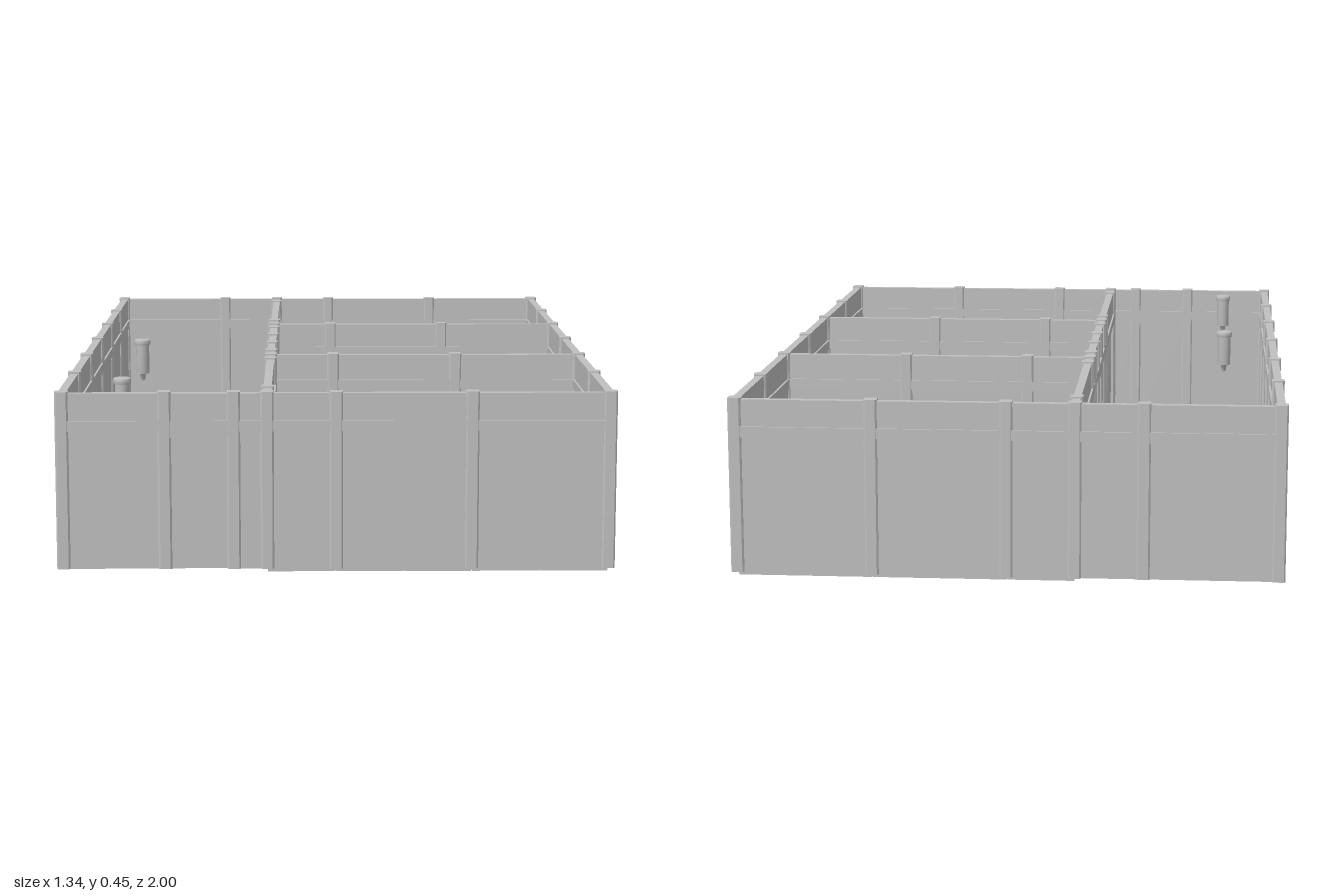
import * as THREE from 'three';

const BASE = 0.01, TOP = 0.44, BEAM_LOW = 0.345, BEAM_HIGH = 0.37;
const POST = 0.016, PANEL = 0.01;

export function createModel() {
  const model = new THREE.Group();
  model.name = 'cellBlock';
  const stone = new THREE.MeshStandardMaterial({ color: 0xc0c0c0 });
  stone.name = 'grey stone';

  const add = (parent, name, geometry, x = 0, y = 0, z = 0) => {
    const mesh = new THREE.Mesh(geometry, stone);
    mesh.name = name;
    mesh.position.set(x, y, z);
    parent.add(mesh);
    return mesh;
  };
  // Box given by its limits along x and y and its half thickness in z
  const slab = (parent, name, x0, x1, y0, y1, half) =>
    add(parent, name, new THREE.BoxGeometry(x1 - x0, y1 - y0, half * 2), (x0 + x1) / 2, (y0 + y1) / 2);

  // Square post with cut corners
  const c = 0.004, h = POST;
  const outline = new THREE.Shape([
    [h, -h + c], [h, h - c], [h - c, h], [-h + c, h],
    [-h, h - c], [-h, -h + c], [-h + c, -h], [h - c, -h],
  ].map(([x, y]) => new THREE.Vector2(x, y)));
  const postGeometry = new THREE.ExtrudeGeometry(outline, { depth: TOP - BASE, bevelEnabled: false });
  postGeometry.rotateX(-Math.PI / 2);
  const barGeometry = new THREE.CylinderGeometry(0.006, 0.006, BEAM_LOW - BASE, 8);

  // Wall along local x: posts, a raised beam, and a filling for every bay
  function wall(name, stops, { kinds = {}, endPosts = true } = {}) {
    const g = new THREE.Group();
    g.name = name;
    const a = stops[0], b = stops[stops.length - 1];
    slab(g, 'beam', a, b, BEAM_LOW, BEAM_HIGH, POST - 0.001);
    slab(g, 'upperPanel', a, b, BEAM_HIGH, TOP - 0.004, PANEL);
    stops.forEach((s, i) => {
      if (endPosts || (i > 0 && i < stops.length - 1)) add(g, 'post', postGeometry, s, BASE, 0);
    });
    for (let i = 0; i < stops.length - 1; i++) {
      const x0 = stops[i], x1 = stops[i + 1], kind = kinds[i] || 'panel';
      if (kind === 'panel') slab(g, 'lowerPanel', x0, x1, BASE, BEAM_LOW, PANEL);
      if (kind === 'door' || kind === 'opening') slab(g, 'lintel', x0, x1, 0.33, BEAM_LOW, POST - 0.001);
      if (kind === 'door') slab(g, 'doorLeaf', x0, x1, BASE, 0.33, 0.007);
      if (kind === 'bars') {
        const n = Math.round((x1 - x0) / 0.035);
        for (let k = 1; k < n; k++)
          add(g, 'bar', barGeometry, x0 + (x1 - x0) * k / n, (BASE + BEAM_LOW) / 2, 0);
        for (const y of [0.03, 0.13, 0.23]) slab(g, 'barRail', x0, x1, y - 0.005, y + 0.005, 0.005);
      }
    }
    model.add(g);
    return g;
  }
  const alongZ = (g, x) => { g.rotation.y = -Math.PI / 2; g.position.x = x; };

  // Outer walls
  const X = 0.654, Z = 0.984, CELL = -0.165;
  wall('frontWall', [-X, -0.41, -0.245, CELL, 0, 0.325, X], { kinds: { 1: 'door' } }).position.z = Z;
  wall('backWall', [-X, -0.33, CELL, 0, 0.325, X]).position.z = -Z;
  for (const [name, x] of [['leftWall', X], ['rightWall', -X]])
    alongZ(wall(name, [-Z, -0.655, -0.327, 0, 0.327, 0.655, Z], { endPosts: false }), x);

  // Barred wall between the corridor and the cells
  alongZ(wall('cellFrontWall',
    [-Z, -0.905, -0.41, -0.327, -0.247, -0.083, 0.083, 0.245, 0.327, 0.405, 0.9, Z],
    { kinds: { 1: 'bars', 4: 'bars', 5: 'opening', 6: 'bars', 9: 'bars' }, endPosts: false }), CELL);

  // Partitions between the cells
  for (const z of [-0.327, 0.327])
    wall('cellPartition', [CELL, 0, 0.325, X], { endPosts: false }).position.z = z;

  // Floors: plain corridor, and cells laid with staggered slabs
  add(model, 'corridorFloor', new THREE.BoxGeometry(CELL + X, 0.006, Z * 2), (CELL - X) / 2, 0.013, 0);
  add(model, 'cellFloor', new THREE.BoxGeometry(X - CELL, 0.013, Z * 2), (X + CELL) / 2, 0.0095, 0);
  const columns = 5, width = (X - CELL) / columns, length = Z / 3, gap = 0.002;
  for (let i = 0; i < columns; i++) {
    const shift = i % 2 ? length / 2 : 0;
    for (let z = -Z - shift; z < Z - 0.001; z += length) {
      const z0 = Math.max(z, -Z), z1 = Math.min(z + length, Z);
      add(model, 'floorSlab', new THREE.BoxGeometry(width - gap, 0.006, z1 - z0 - gap),
        CELL + width * (i + 0.5), 0.003, (z0 + z1) / 2);
    }
  }

  // Corridor lanterns: cap, body and tapered foot in one profile
  const profile = [[0, 0.33], [0.006, 0.335], [0.008, 0.35], [0.018, 0.352], [0.018, 0.43],
    [0.022, 0.432], [0.022, 0.443], [0.019, 0.446], [0, 0.446]].map(([r, y]) => new THREE.Vector2(r, y));
  const lantern = new THREE.LatheGeometry(profile, 20);
  for (const z of [0.085, 0.805]) add(model, 'lantern', lantern, -0.523, 0, z);

  return model;
}
